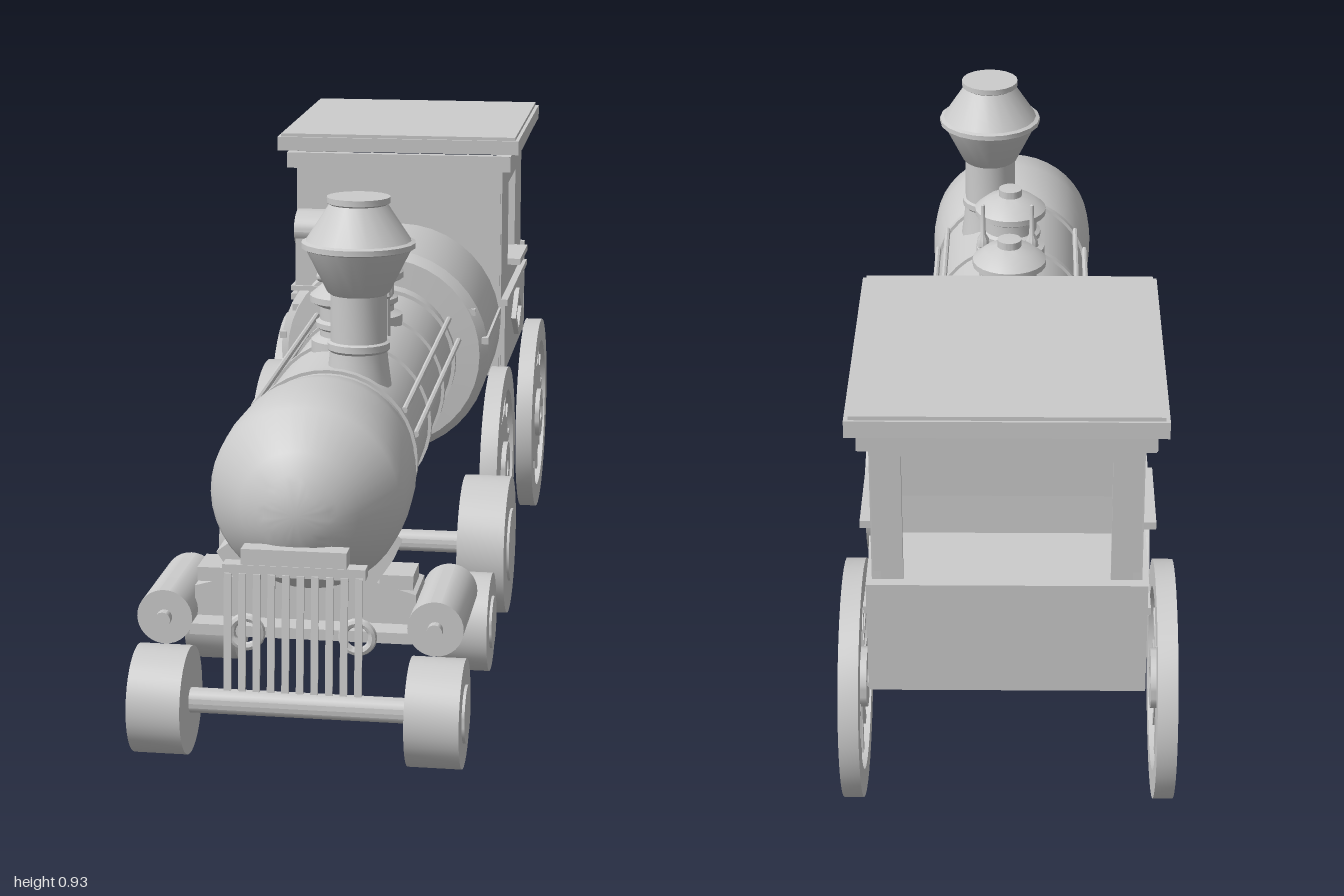
import * as THREE from 'three';
import { toCreasedNormals } from 'three/addons/utils/BufferGeometryUtils.js';

const material = new THREE.MeshStandardMaterial({ color: 0xcccccc, side: THREE.DoubleSide });
const TILT = 0.033;

function add(parent, name, geometry, x = 0, y = 0, z = 0) {
  const mesh = new THREE.Mesh(toCreasedNormals(geometry, 0.5), material);
  mesh.name = name;
  mesh.position.set(x, y, z);
  parent.add(mesh);
  return mesh;
}
const box = (w, h, d) => new THREE.BoxGeometry(w, h, d);
const lathe = (pts, n = 32) => new THREE.LatheGeometry(pts.map(([r, y]) => new THREE.Vector2(r, y)), n);
const latheZ = (pts, n) => lathe(pts, n).rotateX(Math.PI / 2);
const cylX = (r, l, n = 32) => new THREE.CylinderGeometry(r, r, l, n).rotateZ(Math.PI / 2);
const cylZ = (r, l, n = 32) => new THREE.CylinderGeometry(r, r, l, n).rotateX(Math.PI / 2);
const ringX = (ro, ri, w) => lathe([[ri, -w / 2], [ro, -w / 2], [ro, w / 2], [ri, w / 2], [ri, -w / 2]], 40).rotateZ(-Math.PI / 2);

function group(parent, name, x = 0, y = 0, z = 0) {
  const g = new THREE.Group();
  g.name = name;
  g.position.set(x, y, z);
  parent.add(g);
  return g;
}

// Spoked driving wheel
function driveWheel(parent, x, y, z, side) {
  const g = group(parent, 'driveWheel', x, y, z);
  add(g, 'rim', ringX(0.218, 0.168, 0.036));
  add(g, 'hub', ringX(0.055, 0.02, 0.044));
  add(g, 'hubCore', cylX(0.021, 0.03, 16));
  for (let i = 0; i < 14; i++) {
    add(g, 'spoke', box(0.02, 0.13, 0.017).translate(0, 0.11, 0)).rotation.x = (i / 14) * Math.PI * 2;
  }
  if (side > 0) add(g, 'hubPlate', cylX(0.115, 0.012), 0.006);
}

// Pair of solid wheels on an axle
function solidAxle(parent, y, z, r) {
  const g = group(parent, 'solidAxle', 0.011, y, z);
  add(g, 'axle', cylX(0.022, 0.42, 16));
  for (const s of [-1, 1]) {
    add(g, 'solidWheel', cylX(r, 0.094, 36), s * 0.24);
    add(g, 'wheelCap', cylX(r * 0.53, 0.006), s * 0.289);
  }
}

// Boiler with nose, bands and rails, pitched slightly nose-down
function buildBoiler(root) {
  const g = group(root, 'boiler', 0, 0.47, 0);
  g.rotation.x = TILT;
  add(g, 'boilerBarrel', latheZ([[0, -0.49], [0.148, -0.49], [0.148, -0.2], [0.16, 0.53]], 40));
  add(g, 'smokebox', latheZ([[0.155, 0.525], [0.163, 0.54], [0.174, 0.6], [0.177, 0.68], [0.174, 0.752],
    [0.165, 0.77], [0.105, 0.838], [0.07, 0.862], [0.058, 0.866], [0.042, 0.874], [0, 0.876]], 40));
  add(g, 'firebox', latheZ([[0.15, -0.205], [0.205, -0.208], [0.222, -0.225], [0.222, -0.5], [0, -0.5]].reverse(), 40), 0, 0.012, 0);
  for (const [z, r] of [[0.51, 0.16], [0.27, 0.156], [0.02, 0.152], [-0.195, 0.15]]) {
    add(g, 'boilerBand', cylZ(r + 0.006, 0.016, 40), 0, 0, z);
  }
  for (const s of [-1, 1]) {
    for (const a of [0.28, 0.58]) {
      add(g, 'handrail', cylZ(0.006, 0.71, 8), s * 0.168 * Math.cos(a), 0.168 * Math.sin(a), 0.155);
      add(g, 'fireboxRail', box(0.014, 0.014, 0.28), s * 0.225 * Math.cos(a), 0.012 + 0.225 * Math.sin(a) - 0.03, -0.35);
    }
  }
}

// Chimney, domes and bell posts
function buildTopFittings(root) {
  add(root, 'chimney', lathe([[0.062, 0.575], [0.056, 0.62], [0.054, 0.64], [0.059, 0.645], [0.059, 0.657], [0.053, 0.66],
    [0.053, 0.748], [0.058, 0.752], [0.098, 0.832], [0.106, 0.835], [0.106, 0.845], [0.098, 0.848],
    [0.054, 0.915], [0.059, 0.918], [0.059, 0.929], [0, 0.929]], 20), 0.045, 0, 0.443);
  for (const z of [0.275, 0.032]) {
    add(root, 'steamDome', lathe([[0.072, 0.58], [0.072, 0.625], [0.055, 0.633], [0.055, 0.645], [0.063, 0.65], [0.063, 0.66],
      [0.055, 0.665], [0.055, 0.69], [0.074, 0.7], [0.074, 0.712], [0.05, 0.732], [0.024, 0.74],
      [0.024, 0.755], [0, 0.757]], 24), 0, 0, z);
  }
  const bell = group(root, 'bellStand', 0.005, 0, 0.148);
  for (const s of [-1, 1]) {
    add(bell, 'bellPost', lathe([[0.01, 0.58], [0.008, 0.68], [0.014, 0.685], [0.012, 0.7], [0.006, 0.71], [0.004, 0.775], [0, 0.777]], 10), s * 0.05);
  }
  add(bell, 'bellBar', cylX(0.006, 0.1, 8), 0, 0.685);
  add(bell, 'bell', lathe([[0.022, 0.645], [0.013, 0.665], [0.01, 0.685], [0, 0.69]], 14));

  // Lamp box with rounded lid
  const lamp = group(root, 'lampBox', -0.132, 0, -0.255);
  add(lamp, 'lampBody', box(0.112, 0.13, 0.095), 0, 0.685);
  add(lamp, 'lampLid', new THREE.CylinderGeometry(0.054, 0.054, 0.116, 20, 1, false, 0, Math.PI)
    .rotateZ(Math.PI / 2).scale(1, 0.75, 1), 0, 0.745).name = 'lampLid';
  add(lamp, 'lampTop', cylX(0.052, 0.116, 20).scale(1, 0.75, 1), 0, 0.745);
  add(lamp, 'lampKnobLarge', new THREE.SphereGeometry(0.015, 14, 10), 0, 0.705, 0.05);
  add(lamp, 'lampKnobSmall', new THREE.SphereGeometry(0.011, 14, 10), 0, 0.65, 0.05);
  add(lamp, 'lampLedge', box(0.13, 0.01, 0.11), 0, 0.625);
}

// Cab, open at the back
function buildCab(root) {
  const g = group(root, 'cab', -0.005, 0, 0);
  const wall = new THREE.Shape([[0.487, 0.385], [0.975, 0.385], [0.962, 0.885], [0.487, 0.87]].map(p => new THREE.Vector2(...p)));
  wall.holes.push(new THREE.Path([[0.64, 0.617], [0.64, 0.793], [0.81, 0.797], [0.81, 0.62]].map(p => new THREE.Vector2(...p))));
  const frame = new THREE.Shape([[0.085, 0], [0, 0.055], [-0.085, 0], [0, -0.055]].map(p => new THREE.Vector2(...p)));
  frame.holes.push(new THREE.Path([[0.062, 0], [0, -0.04], [-0.062, 0], [0, 0.04]].map(p => new THREE.Vector2(...p))));
  const extrude = (shape, depth) => new THREE.ExtrudeGeometry(shape, { depth, bevelEnabled: false })
    .translate(0, 0, -depth / 2).rotateY(Math.PI / 2);
  for (const s of [-1, 1]) {
    add(g, 'cabSide', extrude(wall, 0.016), s * 0.22);
    add(g, 'lowerPanel', box(0.012, 0.155, 0.49), s * 0.231, 0.467, -0.735);
    add(g, 'sideTrim', box(0.018, 0.014, 0.5), s * 0.234, 0.548, -0.735);
    add(g, 'windowSill', box(0.035, 0.014, 0.185), s * 0.24, 0.613, -0.725);
    add(g, 'diamondFrame', extrude(frame, 0.012), s * 0.242, 0.48, -0.73);
    add(g, 'rearPost', box(0.05, 0.3, 0.014), s * 0.2, 0.73, -0.962);
  }
  add(g, 'cabFront', box(0.45, 0.487, 0.016), 0, 0.628, -0.492);
  add(g, 'cabFloor', box(0.455, 0.016, 0.49), 0, 0.39, -0.73);
  add(g, 'rearPanel', box(0.475, 0.215, 0.02), 0, 0.493, -0.978);
  add(g, 'rearLintel', box(0.45, 0.04, 0.014), 0, 0.86, -0.962);
  for (const s of [-1, 1]) add(g, 'eaveTrimSide', box(0.02, 0.034, 0.51), s * 0.237, 0.866, -0.725).rotation.x = TILT;
  for (const z of [-0.478, -0.972]) add(g, 'eaveTrimEnd', box(0.49, 0.034, 0.02), 0, z < -0.9 ? 0.874 : 0.858, z);
  add(g, 'roof', box(0.53, 0.03, 0.545), 0, 0.902, -0.7275).rotation.x = TILT * 0.7;
  add(g, 'roofTop', box(0.515, 0.012, 0.535), 0, 0.918, -0.7275).rotation.x = TILT * 0.7;
}

// Steam cylinders, saddle and front grille
function buildFront(root) {
  const saddle = new THREE.Shape();
  saddle.moveTo(-0.2, 0.2).lineTo(0.2, 0.2).lineTo(0.2, 0.265).lineTo(0.13, 0.285).lineTo(0.16, 0.33).lineTo(0.12, 0.36);
  saddle.lineTo(-0.12, 0.36).lineTo(-0.16, 0.33).lineTo(-0.13, 0.285).lineTo(-0.2, 0.265);
  add(root, 'saddle', new THREE.ExtrudeGeometry(saddle, { depth: 0.12, bevelEnabled: false }), -0.008, 0, 0.62);
  add(root, 'saddlePlate', box(0.4, 0.02, 0.23), -0.008, 0.2, 0.675);
  for (const s of [-1, 1]) {
    const x = s * 0.243 - 0.01;
    add(root, 'steamCylinder', cylX(0.05, 0.23).rotateY(Math.PI / 2), x, 0.22, 0.675);
    add(root, 'cylinderBoss', cylZ(0.014, 0.02, 14), x, 0.22, 0.798);
    add(root, 'valveBlock', box(0.06, 0.026, 0.08), s * 0.165 - 0.008, 0.287, 0.7);
    add(root, 'saddleRing', new THREE.TorusGeometry(0.027, 0.008, 8, 24), s * 0.1 - 0.005, 0.2, 0.792);
  }
  const grille = group(root, 'grille', -0.002);
  add(grille, 'grilleBeam', box(0.185, 0.045, 0.035), 0, 0.36, 0.868);
  add(grille, 'grilleLedge', box(0.25, 0.02, 0.03), 0, 0.344, 0.872);
  for (let i = 0; i < 10; i++) {
    add(grille, 'grilleBar', box(0.013, 0.215, 0.005), (i - 4.5) * 0.0255, 0.232, 0.898).rotation.x = -0.08;
  }
}

export function createModel() {
  const root = new THREE.Group();
  root.name = 'steamLocomotive';
  buildBoiler(root);
  buildTopFittings(root);
  buildCab(root);
  buildFront(root);
  for (const s of [-1, 1]) {
    driveWheel(root, s * 0.245 - 0.008, 0.222, -0.305, s);
    driveWheel(root, s * 0.28 - 0.006, 0.238, -0.743, s);
  }
  solidAxle(root, 0.11, 0.905, 0.095);
  solidAxle(root, 0.12, 0.438, 0.093);
  solidAxle(root, 0.16, 0.063, 0.139);
  return root;
}
